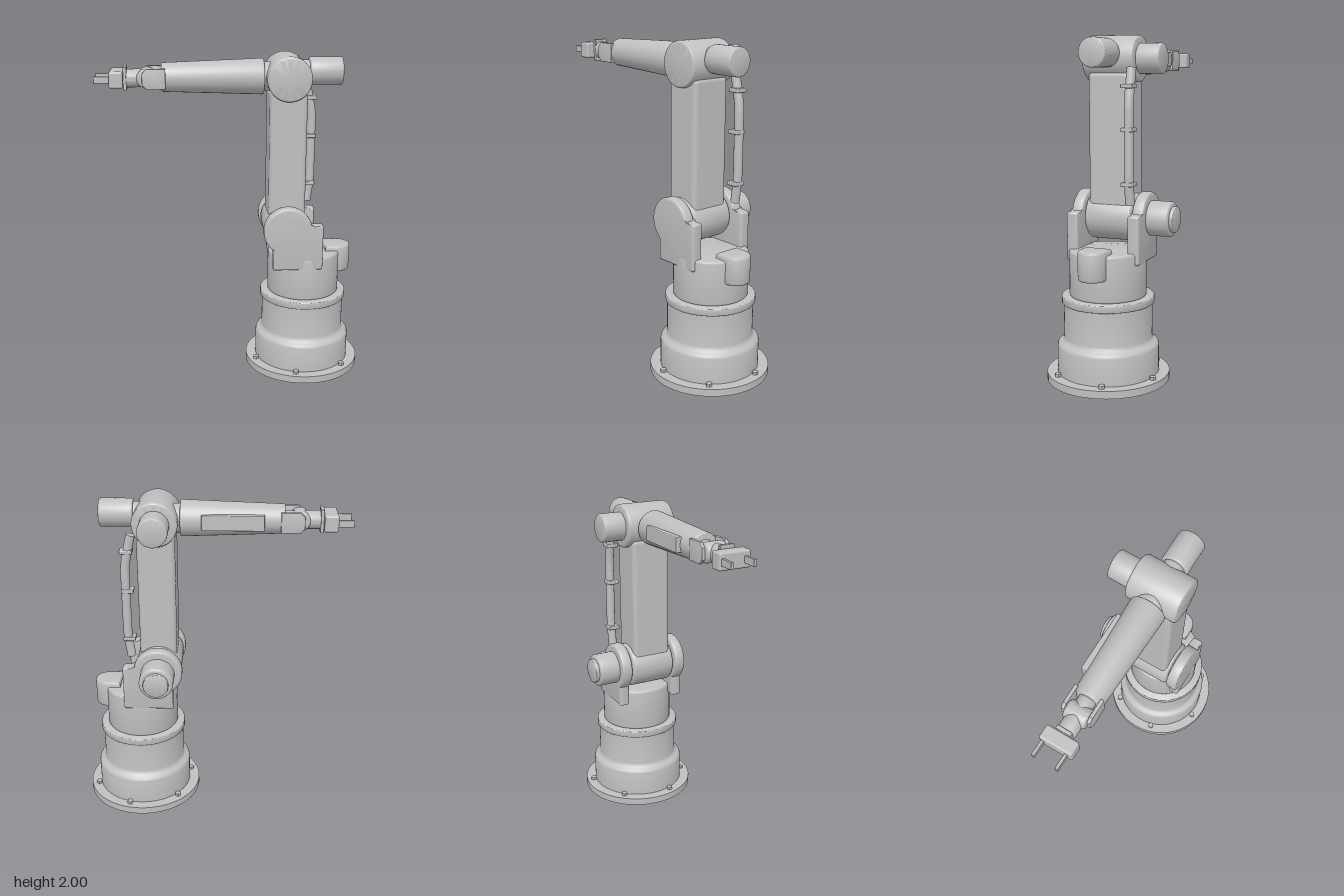
import * as THREE from 'three';
import { toCreasedNormals } from 'three/addons/utils/BufferGeometryUtils.js';
import { RoundedBoxGeometry } from 'three/addons/geometries/RoundedBoxGeometry.js';

const ZC = 0.008; // mid-plane of the arm
const BASE_X = 0.45;
const JOINT_X = 0.325;

export function createModel() {
  const robot = new THREE.Group();
  robot.name = 'robotArm';
  const grey = new THREE.MeshStandardMaterial({ color: 0xc0c0c0 });
  grey.name = 'paintedGrey';

  const add = (name, geometry, x = 0, y = 0, z = 0) => {
    const mesh = new THREE.Mesh(geometry, grey);
    mesh.name = name;
    mesh.position.set(x, y, z);
    robot.add(mesh);
    return mesh;
  };

  const lathe = (points, segments = 48) =>
    toCreasedNormals(new THREE.LatheGeometry(points.map(([r, y]) => new THREE.Vector2(r, y)), segments), 0.6);

  // Capped cylinder with rounded rims, from radius r0 to r1 along +y
  const barrel = (r0, r1, length, b) => {
    const points = [[0, 0]];
    for (let i = 0; i <= 4; i++) {
      const a = (i / 4) * Math.PI / 2;
      points.push([r0 - b + b * Math.sin(a), b - b * Math.cos(a)]);
    }
    for (let i = 0; i <= 4; i++) {
      const a = (i / 4) * Math.PI / 2;
      points.push([r1 - b + b * Math.cos(a), length - b + b * Math.sin(a)]);
    }
    points.push([0, length]);
    return lathe(points);
  };
  // Barrels laid along x or z between two coordinates
  const barrelZ = (name, x, y, z0, z1, r, b = 0.015) =>
    add(name, barrel(r, r, z1 - z0, b).rotateX(Math.PI / 2), x, y, z0);
  const barrelX = (name, x0, x1, y, r0, r1 = r0, b = 0.01) =>
    add(name, barrel(r0, r1, x0 - x1, b).rotateZ(Math.PI / 2), x0, y, ZC);
  const block = (name, x0, x1, y0, y1, z0, z1, b = 0.008) =>
    add(name, new RoundedBoxGeometry(x1 - x0, y1 - y0, z1 - z0, 3, b),
      (x0 + x1) / 2, (y0 + y1) / 2, (z0 + z1) / 2);

  // Extrusion centred on z, with rounded edges of size b
  const plate = (shape, depth, b) => toCreasedNormals(new THREE.ExtrudeGeometry(shape, {
    depth: depth - 2 * b, bevelEnabled: true, bevelSize: b, bevelOffset: -b,
    bevelThickness: b, bevelSegments: 3, curveSegments: 32,
  }).translate(0, 0, b - depth / 2), 0.6);

  // Pedestal
  add('baseFlange', lathe([[0, 0], [0.363, 0], [0.363, 0.045], [0, 0.045]], 64), BASE_X, 0, ZC);
  add('pedestal', lathe([[0.3, 0.04], [0.3, 0.205], [0.296, 0.218], [0.284, 0.228],
    [0.271, 0.237], [0.263, 0.247], [0.26, 0.26], [0.26, 0.47]], 64), BASE_X, 0, ZC);
  add('pedestalCollar', barrel(0.272, 0.272, 0.045, 0.006), BASE_X, 0.46, ZC);
  for (let i = 0; i < 6; i++) {
    const a = THREE.MathUtils.degToRad(-17 + i * 60);
    add('flangeBolt', toCreasedNormals(new THREE.CylinderGeometry(0.019, 0.019, 0.025, 6), 0.5),
      BASE_X + 0.318 * Math.cos(a), 0.05, ZC + 0.318 * Math.sin(a));
  }

  // Turning column with its vertical motor
  add('turret', barrel(0.226, 0.226, 0.275, 0.015), BASE_X, 0.5, ZC);
  const motorShape = new THREE.Shape();
  motorShape.moveTo(0.58, -0.083);
  motorShape.lineTo(0.662, -0.083);
  motorShape.absarc(0.662, 0, 0.083, -Math.PI / 2, Math.PI / 2, false);
  motorShape.lineTo(0.58, 0.083);
  add('turretMotor', plate(motorShape, 0.172, 0.014).rotateX(-Math.PI / 2), 0, 0.72, ZC);

  // Shoulder: two cheek plates around a cross barrel, motor behind
  const cheek = new THREE.Shape();
  cheek.moveTo(0.235, 0.705);
  cheek.lineTo(0.525, 0.705);
  cheek.quadraticCurveTo(0.54, 0.705, 0.54, 0.72);
  cheek.lineTo(0.54, 0.975);
  cheek.quadraticCurveTo(0.54, 0.99, 0.525, 0.99);
  cheek.lineTo(0.469, 0.99);
  cheek.absarc(JOINT_X, 0.953, 0.149, 0.25, Math.PI * 2 - 2.22, false);
  for (const [name, z] of [['leftCheek', 0.197], ['rightCheek', -0.184]]) {
    add(name, plate(cheek, 0.07, 0.014), 0, 0, z);
  }
  barrelZ('shoulderBarrel', JOINT_X, 0.95, -0.137, 0.153, 0.14, 0.02);
  barrelZ('shoulderAxle', JOINT_X, 0.95, -0.18, 0.19, 0.1);
  barrelZ('shoulderMotor', JOINT_X, 0.95, -0.35, -0.2, 0.103);
  barrelZ('shoulderMotorCap', JOINT_X, 0.95, -0.372, -0.33, 0.076, 0.006);

  // Upper arm and elbow
  block('upperArm', 0.212, 0.438, 0.95, 1.795, -0.117, 0.137, 0.03);
  barrelZ('elbowBarrel', JOINT_X, 1.867, -0.15, 0.165, 0.133);
  barrelZ('elbowMotor', JOINT_X, 1.867, -0.288, -0.13, 0.087, 0.012);
  barrelX('forearmMotor', 0.655, 0.455, 1.898, 0.083);
  barrelX('forearmMotorNeck', 0.47, 0.35, 1.898, 0.065);

  // Forearm with side cover
  barrelX('forearm', 0.182, -0.425, 1.868, 0.107, 0.086, 0.008);
  barrelX('forearmNeck', 0.26, 0.15, 1.868, 0.085);
  block('forearmCover', -0.305, 0.058, 1.825, 1.915, -0.106, -0.07, 0.005);

  // Wrist fork
  const fork = new THREE.Shape([[-0.4, 1.806], [-0.4, 1.927], [-0.512, 1.927], [-0.538, 1.9],
    [-0.538, 1.833], [-0.512, 1.806]].map(([x, y]) => new THREE.Vector2(x, y)));
  for (const side of [-1, 1]) {
    add('wristForkPlate', plate(fork, 0.022, 0.004), 0, 0, ZC + side * 0.078);
  }
  barrelZ('wristKnuckle', -0.513, 1.866, -0.06, 0.076, 0.058, 0.02);
  barrelX('wristCore', -0.41, -0.5, 1.866, 0.05);
  barrelX('wristRoll', -0.53, -0.632, 1.864, 0.054, 0.054, 0.006);

  // Gripper
  block('gripperFlange', -0.65, -0.628, 1.796, 1.934, ZC - 0.045, ZC + 0.045, 0.004);
  block('gripperBody', -0.73, -0.648, 1.816, 1.914, ZC - 0.098, ZC + 0.098, 0.012);
  for (const side of [-1, 1]) {
    const z = ZC + side * 0.07 - 0.006;
    block('gripperFinger', -0.82, -0.72, 1.844, 1.884, z - 0.009, z + 0.009, 0.003);
  }

  // Cable conduit with clamps
  const hoseZ = -0.147;
  const path = new THREE.CurvePath();
  const route = [[0.462, 1.815], [0.475, 1.755], [0.495, 1.66], [0.503, 1.6],
    [0.503, 1.21], [0.5, 1.16], [0.485, 1.047]].map(([x, y]) => new THREE.Vector3(x, y, hoseZ));
  for (let i = 1; i < route.length; i++) path.add(new THREE.LineCurve3(route[i - 1], route[i]));
  add('conduit', new THREE.TubeGeometry(path, 40, 0.027, 16));
  for (const end of [0, route.length - 1]) {
    const next = route[end === 0 ? 1 : end - 1];
    const cap = add('conduitEnd', new THREE.CircleGeometry(0.027, 16), ...route[end].toArray());
    cap.lookAt(route[end].clone().multiplyScalar(2).sub(next));
  }
  for (const [x, y] of [[0.492, 1.715], [0.492, 1.473], [0.492, 1.165]]) {
    block('conduitClamp', x - 0.037, x + 0.037, y - 0.012, y + 0.012, -0.177, -0.105, 0.006);
  }

  return robot;
}
